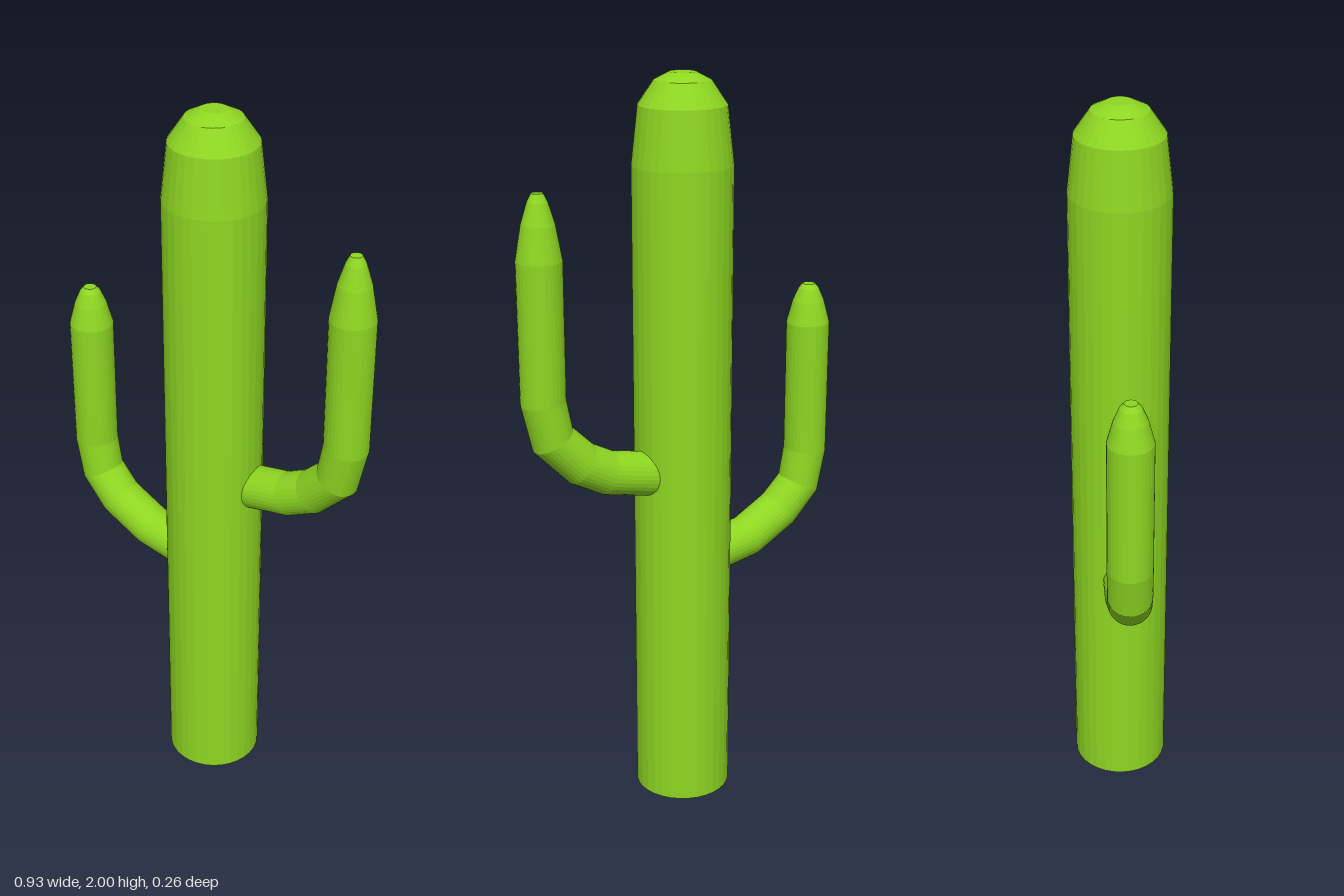
import * as THREE from 'three';

const SIDES = 32;

// Sweeps round rings along a path of [x, y, z, radius] stations, capped at both ends.
function sweep(stations) {
  const pts = stations.map(([x, y, z]) => new THREE.Vector3(x, y, z));
  const pos = [];
  const index = [];
  const last = pts.length - 1;
  pts.forEach((p, i) => {
    // Mitre each ring halfway between its neighbouring segments
    const t = new THREE.Vector3();
    if (i > 0) t.add(p.clone().sub(pts[i - 1]).normalize());
    if (i < last) t.add(pts[i + 1].clone().sub(p).normalize());
    t.normalize();
    const u = new THREE.Vector3(t.y, -t.x, 0).normalize();
    const v = new THREE.Vector3().crossVectors(t, u);
    for (let s = 0; s < SIDES; s++) {
      const a = (s / SIDES) * Math.PI * 2;
      const q = p.clone()
        .addScaledVector(u, Math.cos(a) * stations[i][3])
        .addScaledVector(v, Math.sin(a) * stations[i][3]);
      pos.push(q.x, q.y, q.z);
    }
  });
  for (let i = 0; i < last; i++) {
    for (let s = 0; s < SIDES; s++) {
      const a = i * SIDES + s;
      const b = i * SIDES + (s + 1) % SIDES;
      index.push(a, b, b + SIDES, a, b + SIDES, a + SIDES);
    }
  }
  const end = last * SIDES;
  for (let s = 1; s < SIDES - 1; s++) {
    index.push(0, s + 1, s, end, end + s, end + s + 1);
  }
  const geo = new THREE.BufferGeometry();
  geo.setAttribute('position', new THREE.Float32BufferAttribute(pos, 3));
  geo.setIndex(index);
  geo.computeVertexNormals();
  return geo;
}

export function createModel() {
  const group = new THREE.Group();
  group.name = 'cactus';
  const green = new THREE.MeshStandardMaterial({ color: 0x8ed622, flatShading: true });
  green.name = 'cactus green';

  const add = (name, geometry) => {
    const mesh = new THREE.Mesh(geometry, green);
    mesh.name = name;
    group.add(mesh);
  };

  // Trunk with a tapered, domed top
  const profile = [[0, 0], [0.131, 0], [0.131, 1.77], [0.114, 1.92], [0.073, 1.98], [0.034, 2], [0, 2]];
  const trunk = new THREE.LatheGeometry(profile.map(([r, y]) => new THREE.Vector2(r, y)), SIDES);
  trunk.translate(-0.003, 0, 0);
  add('trunk', trunk);

  // Higher arm, on the left
  const R = 0.059;
  add('leftArm', sweep([
    [0.04, 0.947, -0.013, R],
    [0.12, 0.962, -0.013, R],
    [0.23, 0.985, -0.011, R],
    [0.305, 1.024, -0.01, R],
    [0.382, 1.102, -0.003, R],
    [0.404, 1.205, 0, R],
    [0.404, 1.57, 0, R],
    [0.404, 1.66, 0, 0.043],
    [0.404, 1.715, 0, 0.026],
    [0.404, 1.737, 0, 0.015],
  ]));

  // Lower arm, on the right
  add('rightArm', sweep([
    [-0.04, 0.672, 0.008, R],
    [-0.12, 0.685, 0.008, R],
    [-0.215, 0.703, 0.009, R],
    [-0.322, 0.762, 0.012, R],
    [-0.386, 0.832, 0.009, R],
    [-0.405, 0.932, 0.008, R],
    [-0.405, 1.3, 0.008, R],
    [-0.405, 1.36, 0.008, 0.043],
    [-0.405, 1.395, 0.008, 0.028],
    [-0.405, 1.408, 0.008, 0.017],
  ]));

  return group;
}
